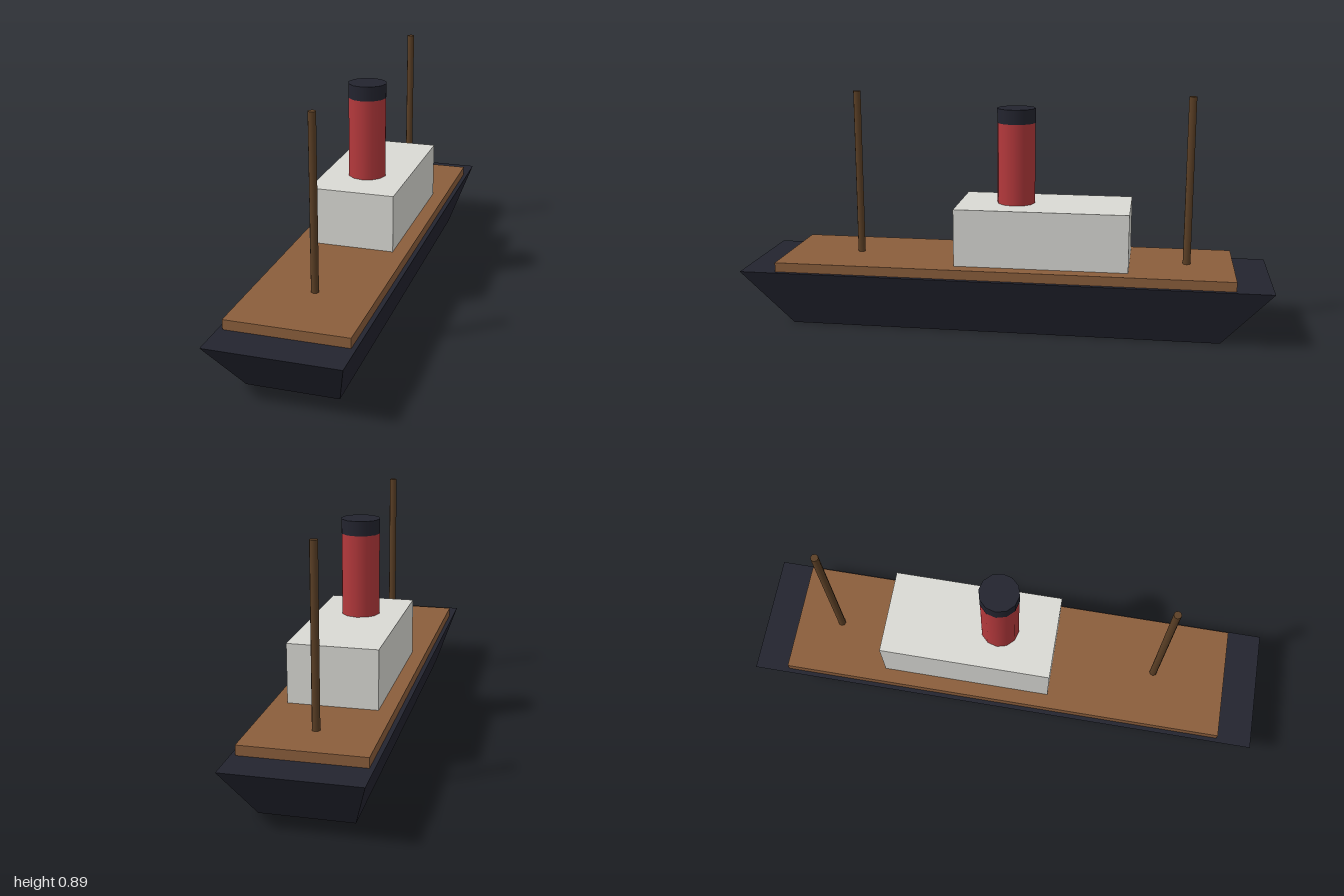
import * as THREE from 'three';

const mat = (name, color) => {
  const m = new THREE.MeshStandardMaterial({ color });
  m.name = name;
  return m;
};

export function createModel() {
  const navy = mat('navy', 0x23242f);
  const deckBrown = mat('deck brown', 0x8b5e3c);
  const offWhite = mat('off white', 0xd9d9d4);
  const red = mat('red', 0xb5393c);
  const darkWood = mat('dark wood', 0x5c4026);

  const ship = new THREE.Group();
  ship.name = 'steamship';

  // Adds a mesh whose base sits at height y
  const add = (name, geometry, material, height, y, z = 0) => {
    const mesh = new THREE.Mesh(geometry, material);
    mesh.name = name;
    mesh.position.set(0, y + height / 2, z);
    ship.add(mesh);
  };
  const addBox = (name, material, w, h, d, y, z) =>
    add(name, new THREE.BoxGeometry(w, h, d), material, h, y, z);
  const addPost = (name, material, r, h, sides, y, z) =>
    add(name, new THREE.CylinderGeometry(r, r, h, sides), material, h, y, z);

  // Hull: a box drawn in at the keel, with raked bow and stern
  const hull = new THREE.BoxGeometry(0.47, 0.218, 2);
  const p = hull.attributes.position;
  for (let i = 0; i < p.count; i++) {
    if (p.getY(i) < 0) {
      p.setX(i, Math.sign(p.getX(i)) * 0.164);
      p.setZ(i, Math.sign(p.getZ(i)) * 0.818);
    }
  }
  hull.computeVertexNormals();
  add('hull', hull, navy, 0.218, 0);

  // Deck and cabin
  addBox('deck', deckBrown, 0.436, 0.036, 1.73, 0.218, 0);
  addBox('cabin', offWhite, 0.327, 0.219, 0.655, 0.254, -0.147);

  // Funnel with its dark cap
  addPost('funnel', red, 0.0727, 0.309, 12, 0.473, -0.036);
  addPost('funnelCap', navy, 0.0737, 0.055, 12, 0.782, -0.036);

  // Masts
  addPost('foreMast', darkWood, 0.0145, 0.637, 8, 0.254, 0.584);
  addPost('aftMast', darkWood, 0.0145, 0.637, 8, 0.254, -0.69);

  return ship;
}
